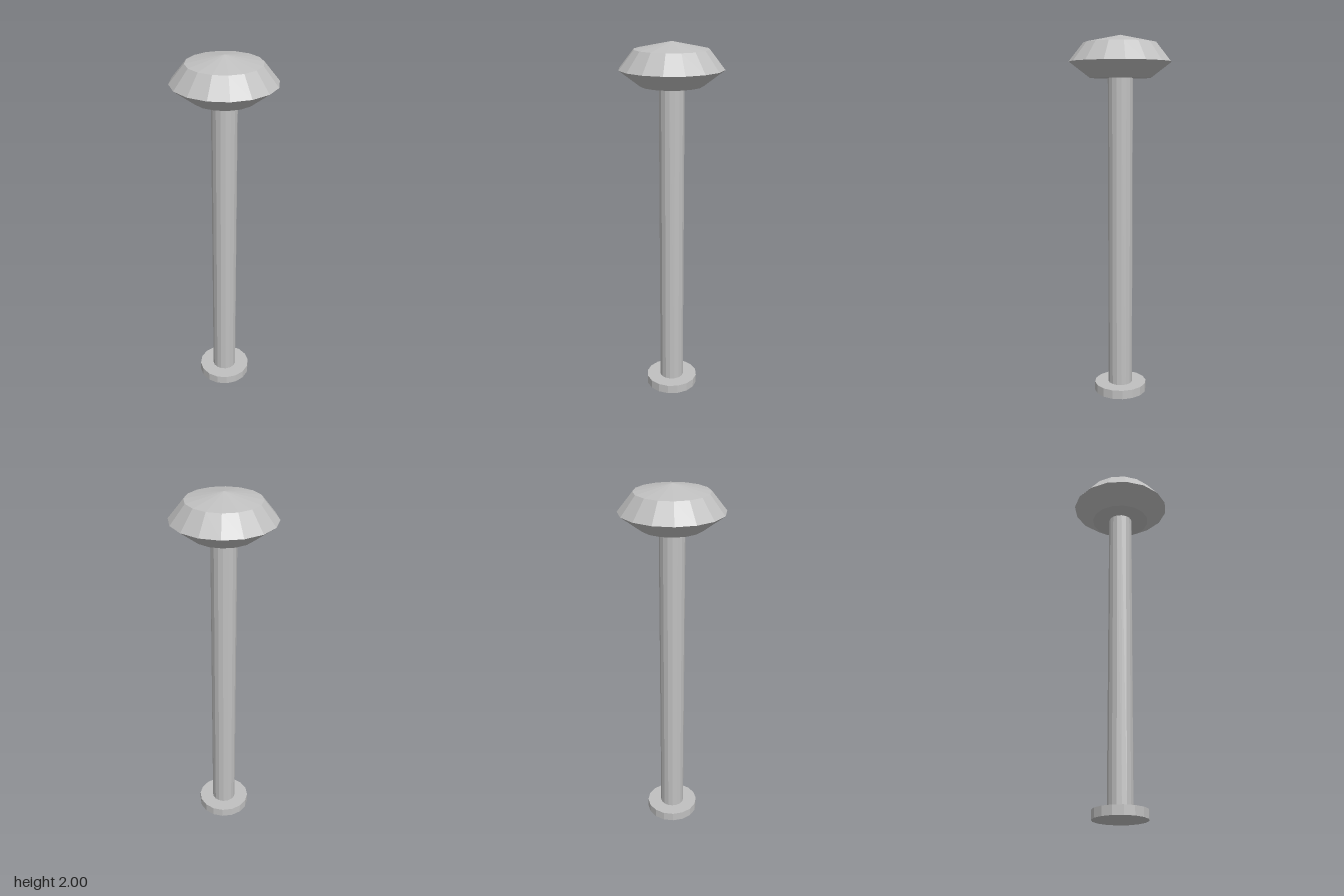
import * as THREE from 'three';

const SIDES = 16;

export function createModel() {
  const group = new THREE.Group();
  const metal = new THREE.MeshStandardMaterial({ color: 0xc0c0c0, flatShading: true });
  metal.name = 'light grey metal';

  // Faceted solid of revolution from [radius, height] pairs, listed bottom to top
  const addTurned = (name, profile) => {
    const points = profile.map(([r, y]) => new THREE.Vector2(r, y));
    const mesh = new THREE.Mesh(new THREE.LatheGeometry(points, SIDES), metal);
    mesh.name = name;
    group.add(mesh);
  };

  // Flat round foot
  addTurned('base', [[0, 0], [0.147, 0], [0.147, 0.05], [0, 0.05]]);

  // Straight post, ending inside the head
  addTurned('post', [[0.068, 0.05], [0.068, 1.775]]);

  // Lamp head: flared underside, sloping shade and shallow conical cap
  addTurned('head', [[0, 1.775], [0.165, 1.775], [0.277, 1.86], [0.197, 1.96]]);
  addTurned('cap', [[0.197, 1.96], [0, 2]]);

  return group;
}
